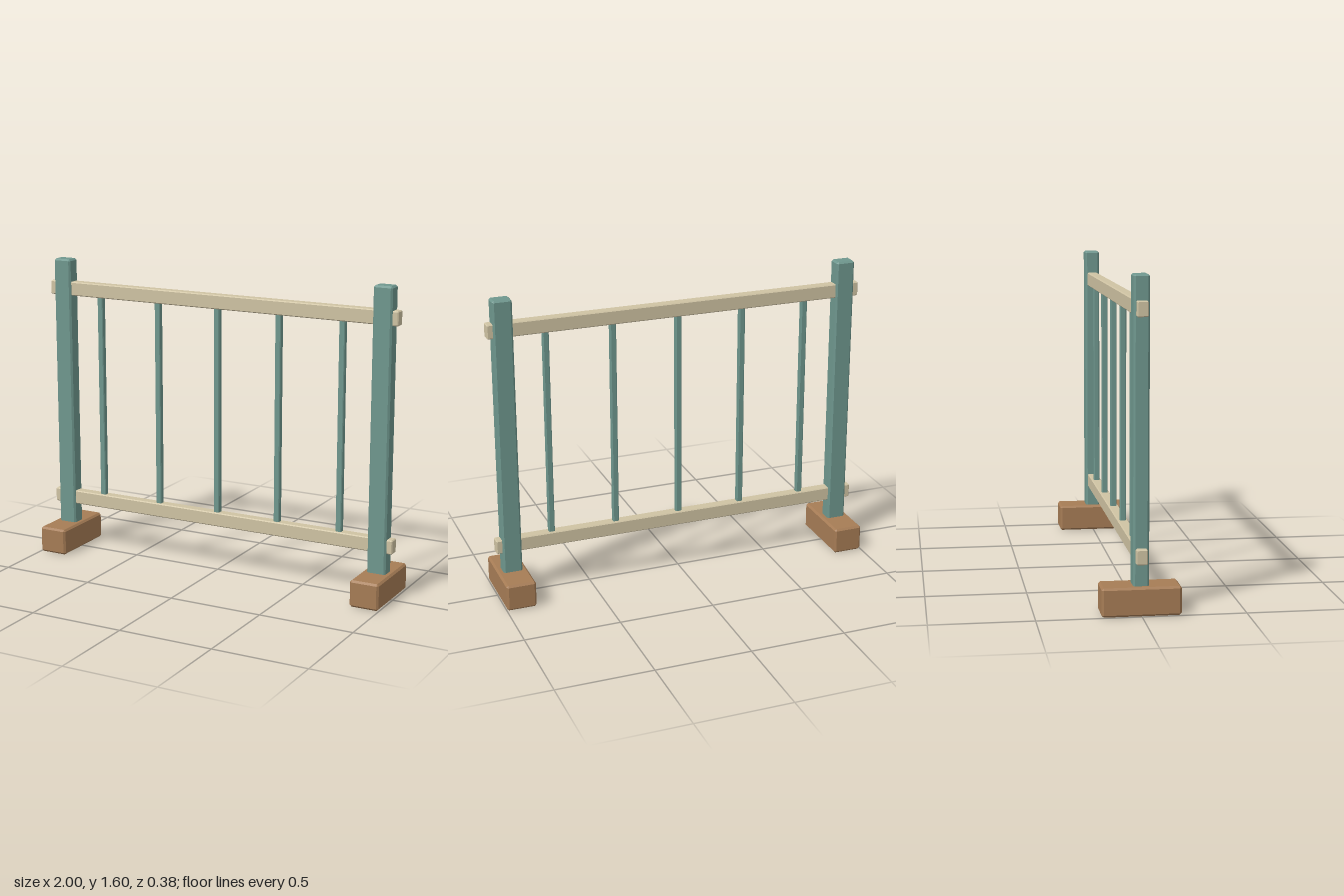
import * as THREE from 'three';
import { ConvexGeometry } from 'three/addons/geometries/ConvexGeometry.js';

// Box with every edge cut by a single flat chamfer c
function chamferBox(w, h, d, c) {
  const half = [w / 2, h / 2, d / 2];
  const points = [];
  for (const sx of [-1, 1]) for (const sy of [-1, 1]) for (const sz of [-1, 1]) {
    for (let axis = 0; axis < 3; axis++) {
      const p = half.map((v, i) => (i === axis ? v : v - c));
      points.push(new THREE.Vector3(sx * p[0], sy * p[1], sz * p[2]));
    }
  }
  return new ConvexGeometry(points);
}

export function createModel() {
  const model = new THREE.Group();
  model.name = 'railing';
  const paint = new THREE.MeshStandardMaterial({ color: 0x6f978e, flatShading: true });
  const paleWood = new THREE.MeshStandardMaterial({ color: 0xcfc3a3, flatShading: true });
  const brownWood = new THREE.MeshStandardMaterial({ color: 0xa67c55, flatShading: true });

  // Beam of the given width and depth, spanning y0 to y1 at x
  function beam(name, x, y0, y1, w, d, chamfer, material) {
    const mesh = new THREE.Mesh(chamferBox(w, y1 - y0, d, chamfer), material);
    mesh.name = name;
    mesh.position.set(x, (y0 + y1) / 2, 0);
    model.add(mesh);
  }

  // Feet and end posts
  for (const [side, s] of [['left', 1], ['right', -1]]) {
    beam(side + 'Foot', s * 0.92, 0, 0.14, 0.155, 0.38, 0.01, brownWood);
    beam(side + 'Post', s * 0.92, 0.12, 1.6, 0.1, 0.076, 0.009, paint);
  }

  // Horizontal rails passing through the posts
  beam('lowerRail', 0, 0.247, 0.321, 2, 0.054, 0.005, paleWood);
  beam('upperRail', 0, 1.406, 1.48, 2, 0.054, 0.005, paleWood);

  // Thin uprights between the rails
  for (let i = -2; i <= 2; i++) {
    beam('baluster' + (i + 3), i * 0.35, 0.31, 1.415, 0.031, 0.031, 0.004, paint);
  }
  return model;
}
